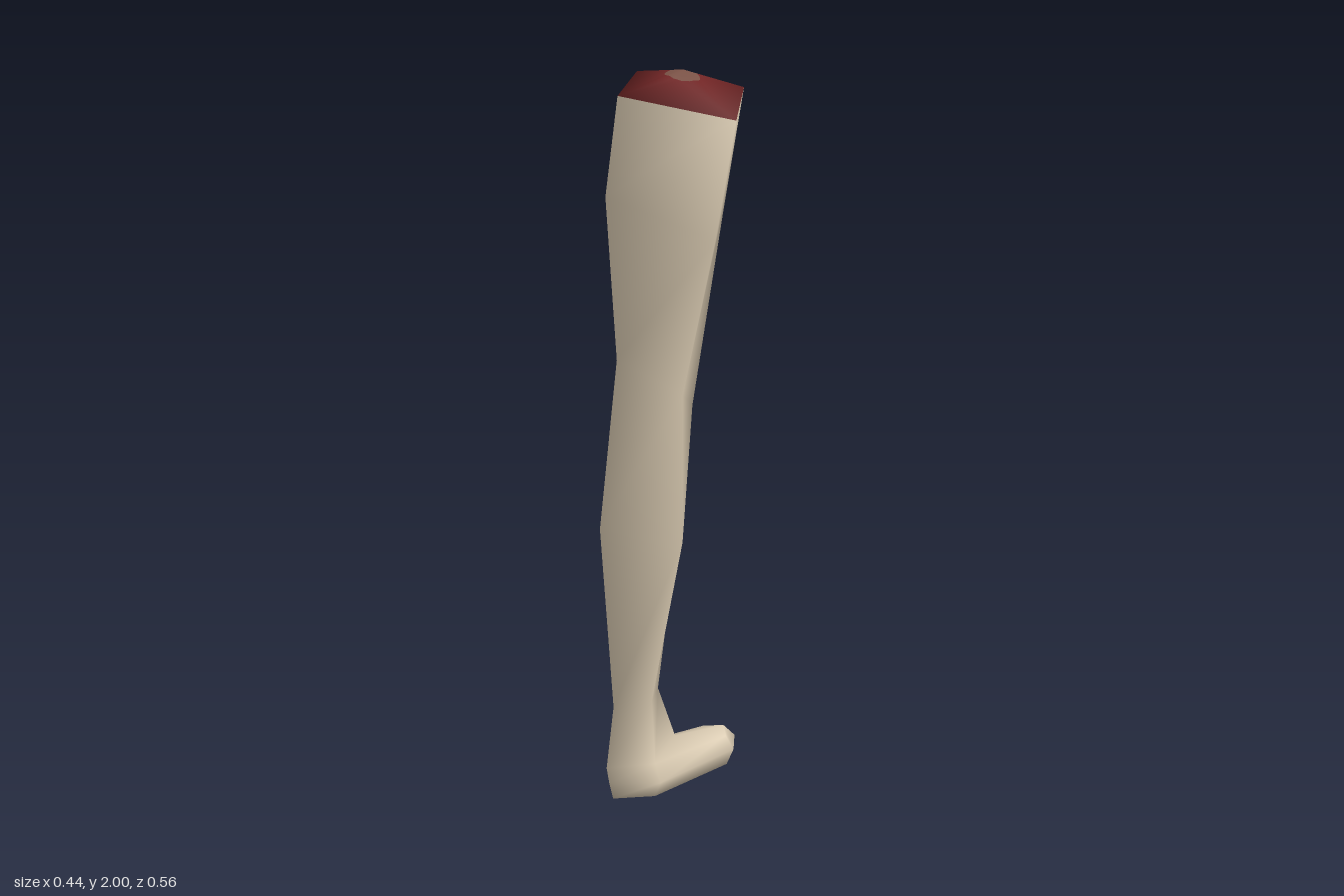
import * as THREE from 'three';

export function createModel() {
  const skin = new THREE.MeshStandardMaterial({ color: 0xdacbb2 });
  skin.name = 'skin';
  const flesh = new THREE.MeshStandardMaterial({ color: 0x702525 });
  flesh.name = 'flesh';
  const bone = new THREE.MeshStandardMaterial({ color: 0x7a5246 });
  bone.name = 'bone';

  const positions = [];
  const faces = [[], [], []]; // skin, flesh, bone
  const add = (p) => positions.push(...p) / 3 - 1;
  const ring = (points) => points.map(add);
  const loft = (lower, upper) => lower.forEach((a, i) => {
    const j = (i + 1) % lower.length;
    faces[0].push(a, lower[j], upper[j], a, upper[j], upper[i]);
  });

  // Foot outlines: heel, +x side, +x toe, toe tip, -x toe, -x side
  const sole = ring([[-0.127, 0, 0.187], [-0.06, 0, 0.09], [-0.075, 0, -0.2],
    [-0.127, 0, -0.255], [-0.18, 0, -0.2], [-0.2, 0, 0.09]]);
  const middle = ring([[-0.127, 0.05, 0.2], [-0.035, 0.05, 0.09], [-0.057, 0.05, -0.21],
    [-0.127, 0.05, -0.28], [-0.199, 0.05, -0.21], [-0.22, 0.05, 0.09]]);
  const upper = ring([[-0.127, 0.1, 0.209], [-0.058, 0.1, 0.09], [-0.08, 0.088, -0.2],
    [-0.127, 0.095, -0.235], [-0.175, 0.088, -0.2], [-0.2, 0.1, 0.09]]);
  loft(sole, middle);
  loft(middle, upper);
  for (let i = 1; i < 5; i++) faces[0].push(sole[0], sole[i + 1], sole[i]);

  // Top of the foot, fanned from the instep
  const instep = add([-0.127, 0.12, -0.045]);
  for (let i = 1; i < 5; i++) faces[0].push(upper[i], upper[i + 1], instep);

  // Four-sided leg rings from ankle to thigh: +z, +x, -z, -x
  let last = [upper[0], upper[1], instep, upper[5]];
  const legRings = [
    [[-0.12, 0.28, 0.187], [-0.06, 0.29, 0.1], [-0.12, 0.29, 0.025], [-0.175, 0.28, 0.1]],
    [[-0.08, 0.82, 0.258], [0.058, 0.78, 0.09], [-0.055, 0.8, 0.0], [-0.195, 0.88, 0.092]],
    [[-0.03, 1.28, 0.235], [0.06, 1.18, 0.09], [-0.025, 1.12, -0.02], [-0.127, 1.28, 0.09]],
    [[-0.012, 1.7, 0.28], [0.16, 1.59, 0.07], [0.0, 1.65, -0.11], [-0.175, 1.7, 0.055]],
    [[0.015, 1.945, 0.26], [0.217, 1.887, 0.055], [0.015, 1.947, -0.163], [-0.165, 1.988, 0.045]],
  ];
  for (const points of legRings) {
    const next = ring(points);
    loft(last, next);
    last = next;
  }

  // Cut end: shallow pyramid with a round bone at its peak
  const rim = legRings[4].map((p) => new THREE.Vector3(...p));
  const peak = new THREE.Vector3(0.022, 2, 0.053);
  const apex = add(peak.toArray());
  const steps = 4;
  const boneRim = [];
  for (let i = 0; i < 4; i++) {
    for (let k = 0; k < steps; k++) {
      const p = rim[i].clone().lerp(rim[(i + 1) % 4], k / steps).sub(peak);
      boneRim.push(add(p.setLength(0.049).add(peak).toArray()));
    }
  }
  boneRim.forEach((a, n) => {
    const b = boneRim[(n + 1) % boneRim.length];
    const side = Math.floor(n / steps);
    const next = last[(side + 1) % 4];
    const k = n % steps;
    faces[2].push(a, b, apex);
    faces[1].push(k < steps / 2 ? last[side] : next, b, a);
    if (k === steps / 2) faces[1].push(last[side], next, a);
  });

  // One smooth surface, coloured by face groups
  const geometry = new THREE.BufferGeometry();
  geometry.setAttribute('position', new THREE.Float32BufferAttribute(positions, 3));
  geometry.setIndex(faces.flat());
  let start = 0;
  faces.forEach((f, i) => {
    geometry.addGroup(start, f.length, i);
    start += f.length;
  });
  geometry.computeVertexNormals();

  const leg = new THREE.Mesh(geometry, [skin, flesh, bone]);
  leg.name = 'leg';
  const group = new THREE.Group();
  group.name = 'severedLeg';
  group.add(leg);
  return group;
}
